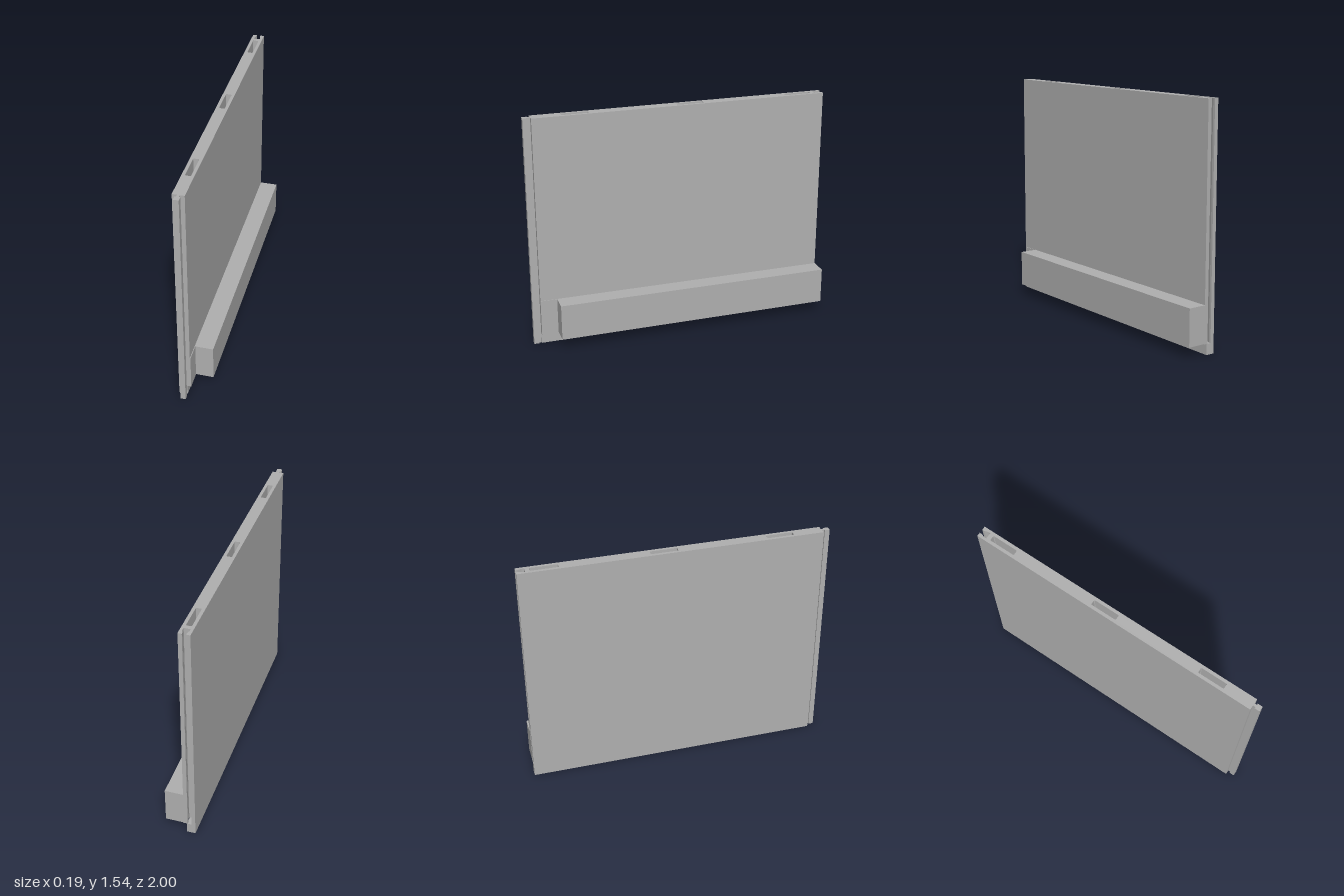
import * as THREE from 'three';

export function createModel() {
  const model = new THREE.Group();
  const grey = new THREE.MeshStandardMaterial({ color: 0xb0b0b0 });
  grey.name = 'grey';

  const add = (name, geometry) => {
    const mesh = new THREE.Mesh(geometry, grey);
    mesh.name = name;
    model.add(mesh);
  };

  // Box given by its limits
  const box = (name, x0, x1, y0, y1, z0, z1) => {
    const g = new THREE.BoxGeometry(x1 - x0, y1 - y0, z1 - z0);
    add(name, g.translate((x0 + x1) / 2, (y0 + y1) / 2, (z0 + z1) / 2));
  };

  // Plan outline as [x, z] points, raised from y0 to y1
  const plan = (points) => points.map(([x, z]) => new THREE.Vector2(x, -z));
  const raise = (name, shape, y0, y1) => {
    const g = new THREE.ExtrudeGeometry(shape, { depth: y1 - y0, bevelEnabled: false });
    add(name, g.rotateX(-Math.PI / 2).translate(0, y0, 0));
  };

  const top = 1.54, step = 0.07, left = -0.1, right = -0.025, back = -1, front = 0.95;

  // Wall panel with a flared groove in its back edge
  const wall = new THREE.Shape(plan([
    [left, front], [right, front], [right, back],
    [-0.05, back], [-0.05, -0.985], [-0.042, -0.96], [-0.042, -0.945],
    [-0.083, -0.945], [-0.083, -0.96], [-0.075, -0.985], [-0.075, back],
    [left, back],
  ]));
  // Long slots sunk from the top edge
  for (const z of [-0.83, -0.085, 0.67]) {
    wall.holes.push(new THREE.Path(plan([
      [-0.076, z - 0.088], [-0.049, z - 0.088], [-0.045, z - 0.084], [-0.045, z + 0.084],
      [-0.049, z + 0.088], [-0.076, z + 0.088], [-0.08, z + 0.084], [-0.08, z - 0.084],
    ])));
  }
  raise('wallPanel', wall, step, top);

  // Narrower lap under the panel
  box('bottomLap', left, -0.045, 0, step, back, front);

  // T-shaped tongue along the front edge
  raise('frontTongue', new THREE.Shape(plan([
    [-0.07, front], [-0.07, 0.967], [-0.079, 0.967], [-0.079, 1],
    [-0.045, 1], [-0.045, 0.967], [-0.054, 0.967], [-0.054, front],
  ])), 0, top);

  // Thin band behind the ledge, then the ledge itself
  box('ledgeBacking', right, -0.021, step, 0.313, back, front);
  box('ledge', -0.021, 0.094, 0.073, 0.313, back, 0.84);

  return model;
}
